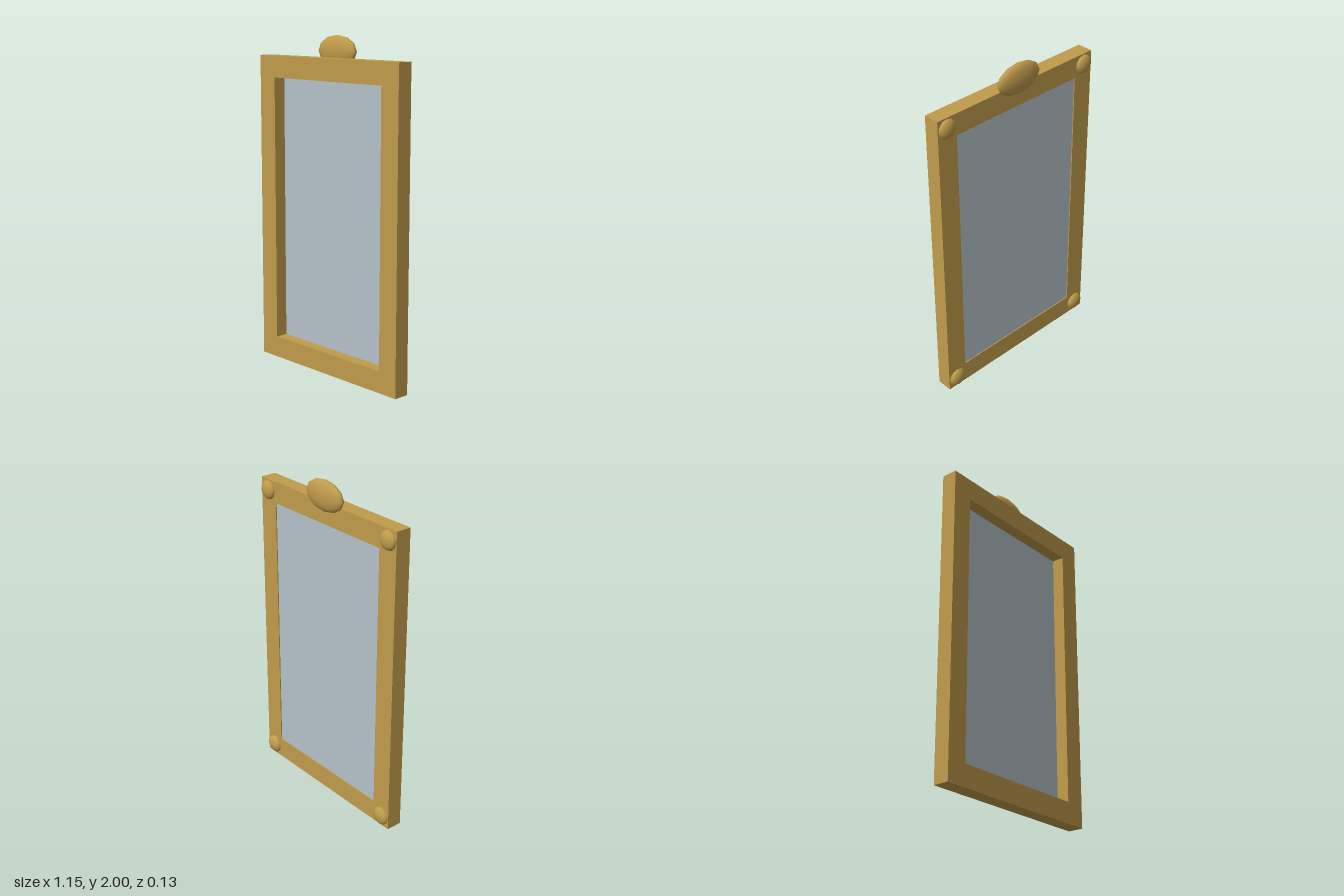
import * as THREE from 'three';

const gold = new THREE.MeshStandardMaterial({ color: 0xc09c4c });
const glass = new THREE.MeshStandardMaterial({ color: 0xb4c2c8 });

const W = 1.154, H = 1.87;            // outer frame size
const BORDER = 0.13;                  // frame member width
const BACK = -0.03, FRONT = 0.066;    // frame depth range

function addMesh(group, name, geometry, material, x = 0, y = 0, z = 0) {
  const mesh = new THREE.Mesh(geometry, material);
  mesh.name = name;
  mesh.position.set(x, y, z);
  group.add(mesh);
  return mesh;
}

// Ellipsoid with its poles facing front and back
function ellipsoid(rx, ry, rz, sides, rings) {
  return new THREE.SphereGeometry(1, sides, rings).rotateX(Math.PI / 2).scale(rx, ry, rz);
}

// Counter-clockwise rectangle outline
function rectangle(target, x0, y0, x1, y1) {
  target.moveTo(x0, y0).lineTo(x1, y0).lineTo(x1, y1).lineTo(x0, y1).closePath();
  return target;
}

export function createModel() {
  const model = new THREE.Group();
  model.name = 'framedMirror';

  // Rectangular frame with a straight-sided opening
  const outline = rectangle(new THREE.Shape(), -W / 2, 0, W / 2, H);
  outline.holes.push(rectangle(new THREE.Path(), -W / 2 + BORDER, BORDER, W / 2 - BORDER, H - BORDER));
  const frame = new THREE.ExtrudeGeometry(outline, { depth: FRONT - BACK, bevelEnabled: false });
  addMesh(model, 'frame', frame, gold, 0, 0, BACK);

  // Mirror pane set near the back of the opening
  const pane = new THREE.BoxGeometry(W - 2 * BORDER, H - 2 * BORDER, 0.014);
  addMesh(model, 'mirrorPane', pane, glass, 0, H / 2, -0.017);

  // Oval crest on the top edge
  addMesh(model, 'crest', ellipsoid(0.155, 0.092, 0.038, 12, 12), gold, 0, 1.908, BACK);

  // Oval studs on the back corners
  const stud = ellipsoid(0.058, 0.058, 0.03, 12, 10);
  for (const [sx, side] of [[1, 'Left'], [-1, 'Right']]) {
    for (const [y, level] of [[0.065, 'lower'], [H - 0.065, 'upper']]) {
      addMesh(model, `${level}${side}Stud`, stud, gold, sx * 0.514, y, BACK);
    }
  }

  return model;
}
